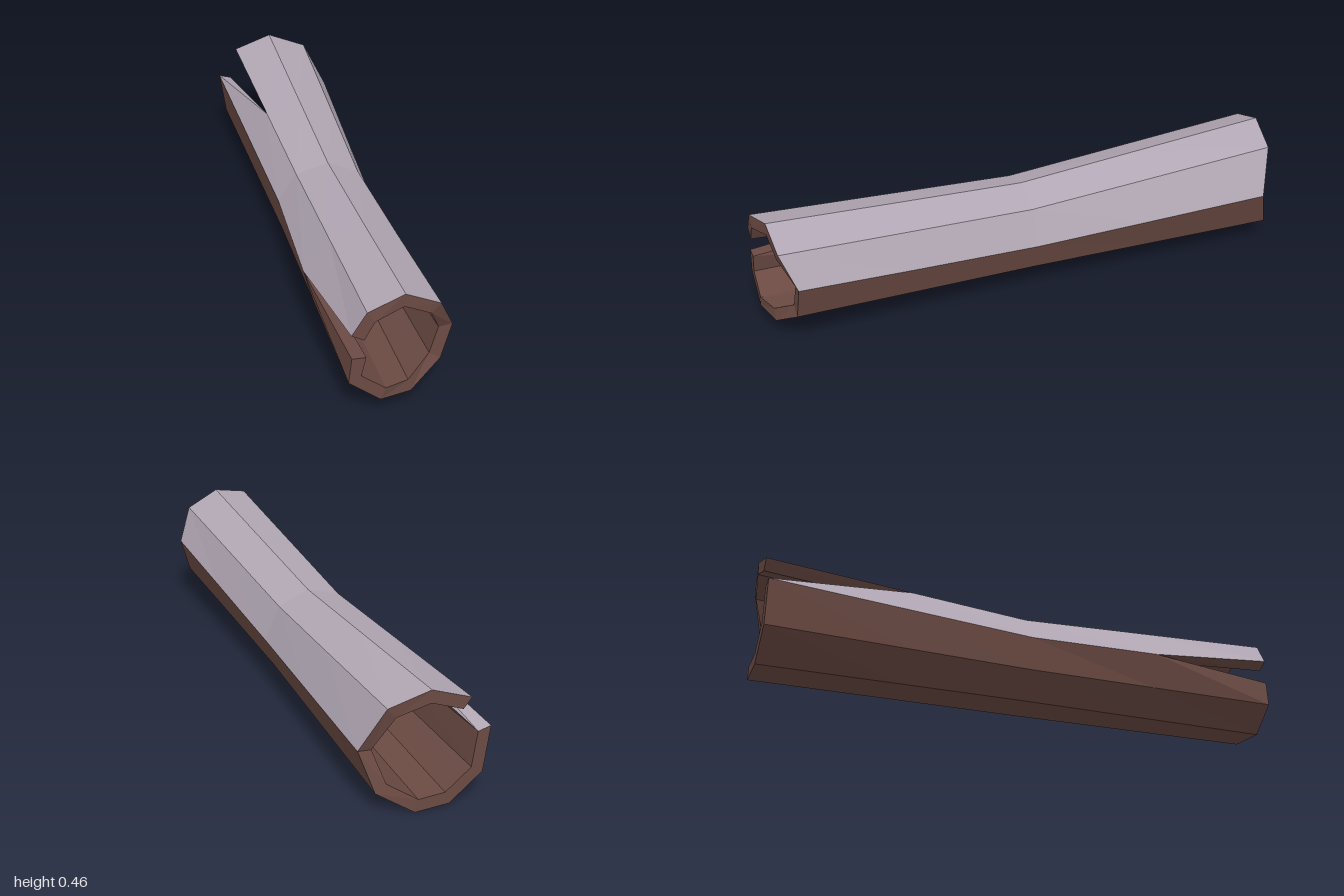
import * as THREE from 'three';

const WALL = 0.048; // thickness of the hollow trunk

// One nine-sided section, clockwise from the top as seen from the front.
// turn: extra degrees per corner, trim: how far each corner is cut back along z.
function section({ cx, cy, r, z, phase, turn = {}, trim = {} }) {
  return Array.from({ length: 9 }, (_, i) => {
    const a = THREE.MathUtils.degToRad(phase - 40 * i + (turn[i] || 0));
    return new THREE.Vector3(cx + r * Math.cos(a), cy + r * Math.sin(a), z - Math.sign(z) * (trim[i] || 0));
  });
}

// Flat-faced geometry from a list of quads
function quadGeometry(quads) {
  const pos = [];
  const tri = (a, b, c) => {
    const area = b.clone().sub(a).cross(c.clone().sub(a)).length();
    if (area > 1e-7) pos.push(...a.toArray(), ...b.toArray(), ...c.toArray());
  };
  for (const [a, b, c, d] of quads) { tri(a, b, c); tri(a, c, d); }
  const g = new THREE.BufferGeometry();
  g.setAttribute('position', new THREE.Float32BufferAttribute(pos, 3));
  g.computeVertexNormals();
  return g;
}

export function createModel() {
  const bark = new THREE.MeshStandardMaterial({ color: 0x6b4a43 });
  bark.name = 'brown bark';
  const top = new THREE.MeshStandardMaterial({ color: 0xb1a7b4 });
  top.name = 'pale grey top';

  // Main sections: both ends and the narrow waist
  const front = section({ cx: 0.05, cy: 0.26, r: 0.2, z: 1, phase: 84,
    turn: { 5: 8, 6: 8 }, trim: { 0: 0.03, 1: 0.04, 2: 0.09, 3: 0.085, 4: 0.03 } });
  const waist = section({ cx: 0.01, cy: 0.207, r: 0.183, z: 0, phase: 86, turn: { 2: -5 } });
  const back = section({ cx: -0.02, cy: 0.222, r: 0.224, z: -1, phase: 90,
    turn: { 2: -8, 3: -8, 4: -8, 7: -4 }, trim: { 1: 0.02, 2: 0.07, 3: 0.03 } });
  const between = (a, b, t, z) => a.map((p, i) => {
    const q = p.clone().lerp(b[i], t);
    q.z = z;
    return q;
  });
  const frontMid = between(front, waist, 0.5, 0.5);
  const backMid = between(waist, back, 0.45, -0.45);
  front[7].set(-0.11, 0.25, 1);
  frontMid[7].set(-0.17, 0.265, 0.5);

  // Each ring runs from the upper lip of the side crack round to its lower lip
  const ring = (s, upper, lower) => {
    const outer = [upper, s[8], s[0], s[1], s[2], s[3], s[4], s[5], s[6], s[7], lower];
    const c = s.reduce((v, p) => v.add(p), new THREE.Vector3()).divideScalar(9);
    const inner = outer.map((p) => {
      const d = new THREE.Vector3(c.x - p.x, c.y - p.y, 0).normalize();
      return p.clone().addScaledVector(d, WALL);
    });
    return { outer, inner };
  };
  const rings = [
    ring(front, new THREE.Vector3(-0.112, 0.342, 1), front[7]),
    ring(frontMid, frontMid[7], frontMid[7]),
    ring(waist, waist[7], waist[7]),
    ring(backMid, backMid[8], backMid[8]),
    ring(back, back[8], back[7]),
  ];

  const q = { topShell: [], barkShell: [], hollow: [], endRims: [], crackWalls: [], crackLip: [] };
  for (let k = 0; k < rings.length - 1; k++) {
    const A = rings[k], B = rings[k + 1];
    for (let i = 0; i < 10; i++) {
      const grey = i < 4 || i === 9;
      (grey ? q.topShell : q.barkShell).push([A.outer[i], A.outer[i + 1], B.outer[i + 1], B.outer[i]]);
      q.hollow.push([A.inner[i + 1], A.inner[i], B.inner[i], B.inner[i + 1]]);
    }
    // The crack is open only in the first and last stretch
    if (k === 0 || k === 3) {
      q.crackWalls.push([A.inner[0], A.outer[0], B.outer[0], B.inner[0]]);
      (k === 3 ? q.crackLip : q.crackWalls).push([A.outer[10], A.inner[10], B.inner[10], B.outer[10]]);
    }
  }
  // Rims closing the wall at both ends
  const F = rings[0], E = rings[4];
  for (let i = 0; i < 10; i++) {
    q.endRims.push([F.outer[i + 1], F.outer[i], F.inner[i], F.inner[i + 1]]);
    q.endRims.push([E.outer[i], E.outer[i + 1], E.inner[i + 1], E.inner[i]]);
  }

  const group = new THREE.Group();
  group.name = 'hollowLog';
  for (const [name, quads] of Object.entries(q)) {
    const mesh = new THREE.Mesh(quadGeometry(quads), name === 'topShell' || name === 'crackLip' ? top : bark);
    mesh.name = name;
    group.add(mesh);
  }
  return group;
}
